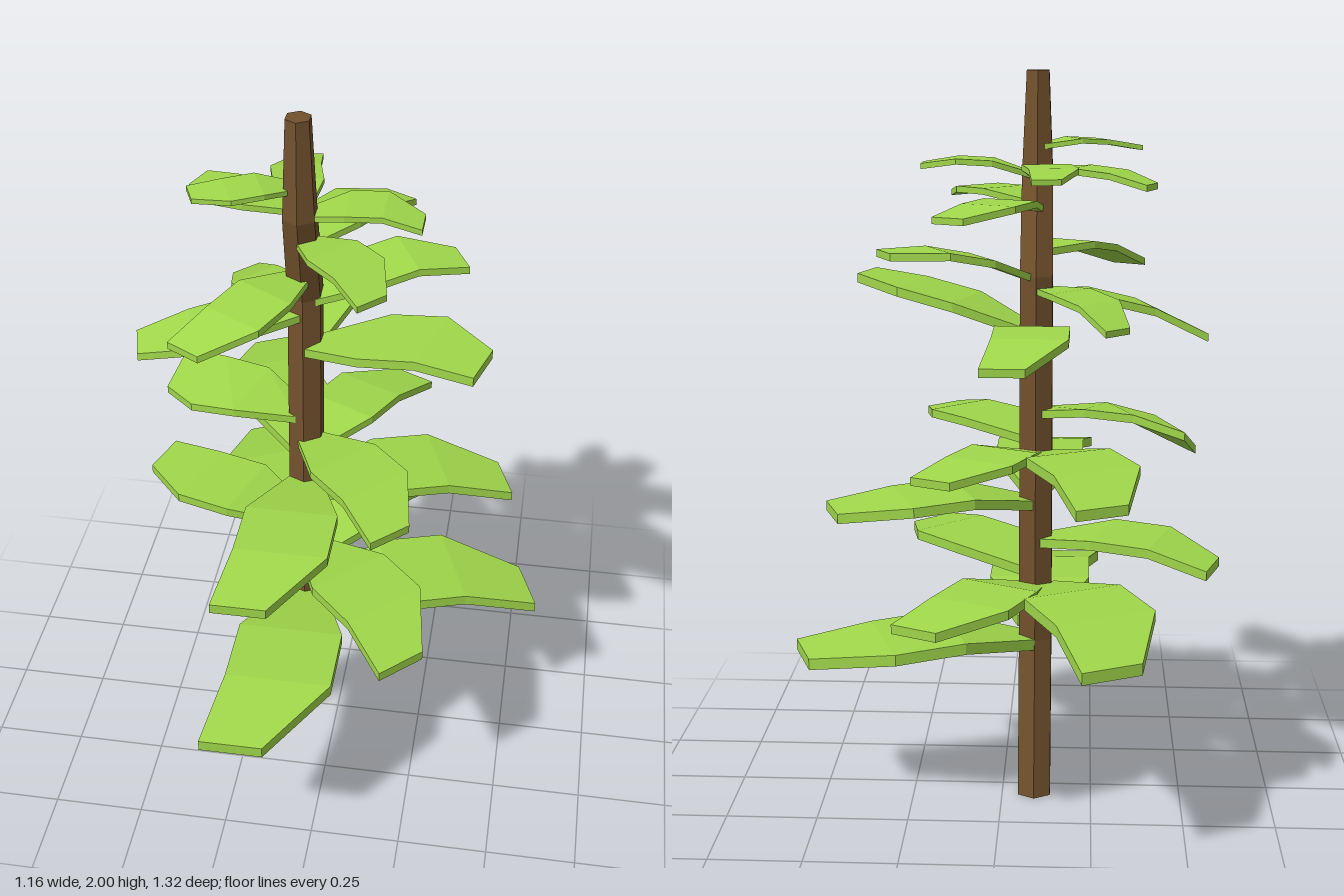
import * as THREE from 'three';

const TRUNK_X = -0.09;
// Trunk rings: height, z offset, radius
const RINGS = [[0, -0.05, 0.052], [0.45, 0, 0.052], [1.47, -0.03, 0.05], [1.73, 0.035, 0.047], [2, 0.04, 0.034]];

const bark = new THREE.MeshStandardMaterial({ color: 0x73522d, flatShading: true });
const green = new THREE.MeshStandardMaterial({ color: 0x9fd64a, flatShading: true });

// Leaf outline stations: distance along, left edge, right edge
const OUTLINE = [[0.02, 0.05, -0.05], [0.25, 0.14, -0.15], [0.45, 0.14, -0.15], [0.66, -0.01, -0.18]];

// Bent six-sided trunk: a cylinder whose rings are moved to follow RINGS
function trunk() {
  const geo = new THREE.CylinderGeometry(1, 1, RINGS.length - 1, 6, RINGS.length - 1);
  const p = geo.attributes.position;
  for (let i = 0; i < p.count; i++) {
    const [y, z, r] = RINGS[Math.round(p.getY(i) + (RINGS.length - 1) / 2)];
    p.setXYZ(i, TRUNK_X + p.getX(i) * r, y, z + p.getZ(i) * r);
  }
  geo.computeVertexNormals();
  const mesh = new THREE.Mesh(geo, bark);
  mesh.name = 'trunk';
  return mesh;
}

// Thin slab leaf pointing to +z; heights are the top surface at each station
function leafGeometry(scale, heights, leftDroop = 0) {
  const pos = [], index = [], t = 0.032 * scale;
  OUTLINE.forEach(([u, l, r], i) => {
    const yl = heights[i] - leftDroop * i / 3, yr = heights[i];
    [[l, yl], [r, yr], [r, yr - t], [l, yl - t]].forEach(([v, y]) => pos.push(v * scale, y, u * scale));
  });
  const quad = (a, b, c, d) => index.push(a, b, c, a, c, d);
  for (let i = 0; i < 3; i++) {
    for (let k = 0; k < 4; k++) {
      const a = i * 4 + k, b = i * 4 + (k + 1) % 4;
      quad(a, b, b + 4, a + 4);
    }
  }
  quad(3, 2, 1, 0);
  quad(12, 13, 14, 15);
  const indexed = new THREE.BufferGeometry();
  indexed.setAttribute('position', new THREE.Float32BufferAttribute(pos, 3));
  indexed.setIndex(index);
  const geo = indexed.toNonIndexed();
  geo.computeVertexNormals();
  return geo;
}

function leaf(name, z, angle, scale, heights, droop) {
  const mesh = new THREE.Mesh(leafGeometry(scale, heights, droop), green);
  mesh.position.set(TRUNK_X, 0, z);
  mesh.rotation.y = THREE.MathUtils.degToRad(angle);
  mesh.name = name;
  return mesh;
}

// Wide whorl, used twice: angle, scale, top heights
const WIDE = [
  [110.6, 0.975, [0.455, 0.5, 0.49, 0.45]],
  [0, 1, [0.5, 0.54, 0.54, 0.495]],
  [206.5, 0.98, [0.61, 0.655, 0.645, 0.595]],
  [44, 0.84, [0.66, 0.695, 0.695, 0.66]],
  [153.6, 0.79, [0.61, 0.655, 0.65, 0.62]],
  [251.6, 0.79, [0.745, 0.78, 0.775, 0.74]],
];
// Steeper leaves of the third whorl
const MIDDLE = [
  [179, 0.675, [1.31, 1.36, 1.35, 1.3]],
  [285, 0.67, [1.43, 1.42, 1.385, 1.315]],
  [74, 0.79, [1.33, 1.4, 1.435, 1.45]],
  [329, 0.6, [1.54, 1.55, 1.53, 1.48]],
  [116, 0.62, [1.47, 1.525, 1.55, 1.545]],
  [226, 0.52, [1.44, 1.44, 1.42, 1.37]],
];
// Small leaves at the crown
const CROWN = [
  [249, 0.51, [1.75, 1.755, 1.745, 1.72]],
  [293, 0.41, [1.81, 1.825, 1.82, 1.805]],
  [90, 0.47, [1.735, 1.77, 1.775, 1.758]],
  [46, 0.53, [1.665, 1.69, 1.69, 1.67]],
  [152, 0.55, [1.65, 1.675, 1.67, 1.645]],
  [194, 0.45, [1.74, 1.765, 1.76, 1.74]],
];

export function createModel() {
  const model = new THREE.Group();
  model.name = 'leafyTree';
  model.add(trunk());

  const addWhorl = (name, z, rows) => {
    const group = new THREE.Group();
    group.name = name;
    rows.forEach(([a, s, h, droop], i) => group.add(leaf(`leaf${i + 1}`, z, a, s, h, droop)));
    model.add(group);
  };
  addWhorl('lowerLeaves', 0, WIDE);
  // Second whorl: smaller and higher, its last leaf twisted
  addWhorl('secondLeaves', -0.01, WIDE.map(([a, s, h], i) =>
    [a, s * 0.86, h.map((y) => 0.9 + (y - 0.5) * 0.86 - 0.005), i === 5 ? 0.06 : 0]));
  addWhorl('middleLeaves', -0.02, MIDDLE);
  addWhorl('crownLeaves', 0.02, CROWN);
  return model;
}
